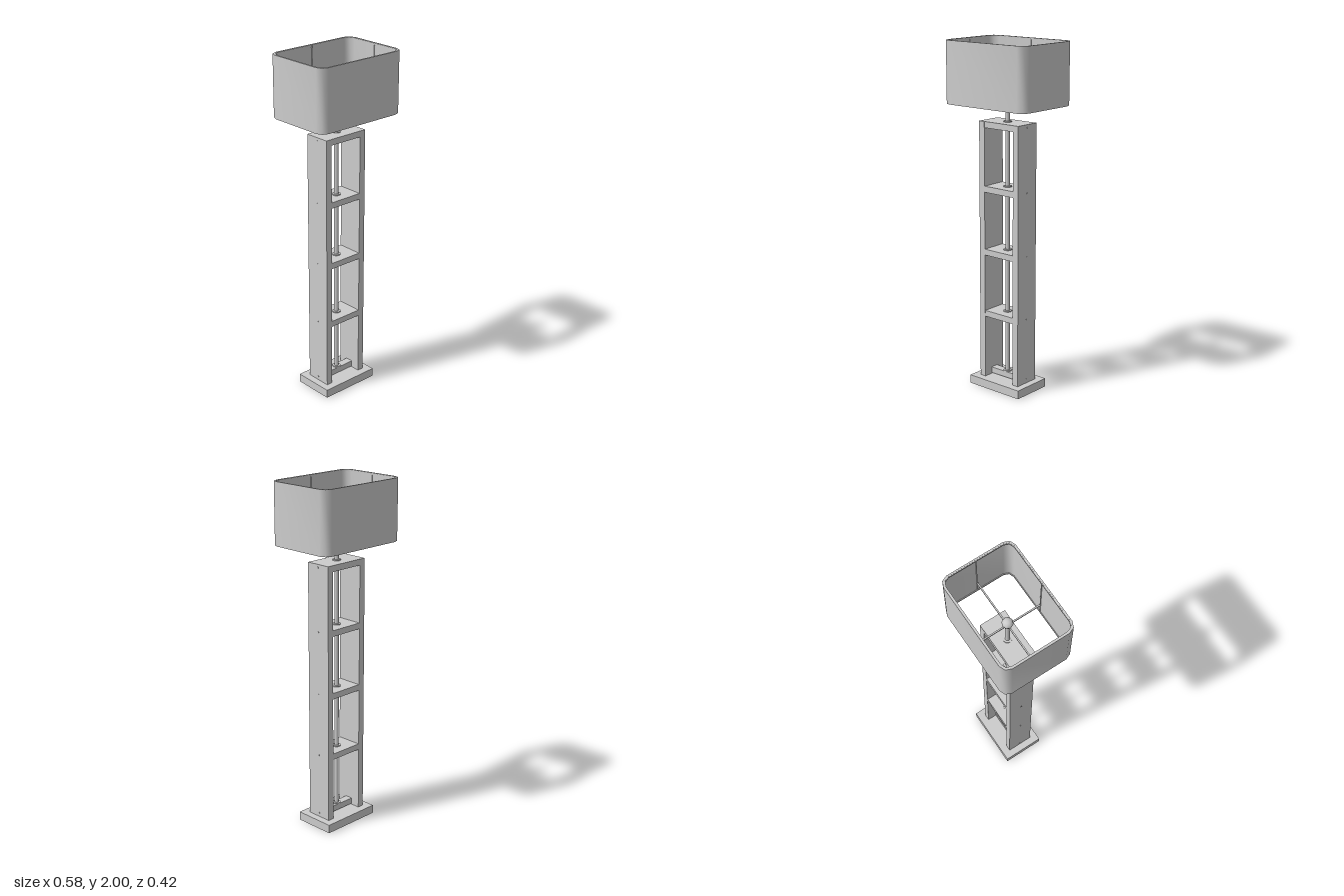
import * as THREE from 'three';
import { toCreasedNormals } from 'three/addons/utils/BufferGeometryUtils.js';

export function createModel() {
  const lamp = new THREE.Group();
  lamp.name = 'floorLamp';
  const grey = new THREE.MeshStandardMaterial({ color: 0xcccccc });
  grey.name = 'light grey';

  const add = (name, geometry, x = 0, y = 0, z = 0) => {
    const mesh = new THREE.Mesh(geometry, grey);
    mesh.name = name;
    mesh.position.set(x, y, z);
    lamp.add(mesh);
    return mesh;
  };
  // box given by its size and the height of its underside
  const box = (name, w, h, d, x, y0, z = 0) =>
    add(name, new THREE.BoxGeometry(w, h, d), x, y0 + h / 2, z);
  const rod = (name, r, y0, y1, x = 0, z = 0, sides = 12) =>
    add(name, new THREE.CylinderGeometry(r, r, y1 - y0, sides), x, (y0 + y1) / 2, z);

  // rectangle with each corner cut by a two-step arc
  const outline = (w, d, r) => {
    const points = [];
    [[1, 1], [-1, 1], [-1, -1], [1, -1]].forEach(([sx, sz], corner) => {
      for (let i = 0; i <= 2; i++) {
        const a = (corner + i / 2) * Math.PI / 2;
        points.push(new THREE.Vector2(
          sx * (w - r) + Math.cos(a) * r, sz * (d - r) + Math.sin(a) * r));
      }
    });
    return points;
  };
  // hollow rounded band with the given wall, standing between two heights
  const band = (name, w, d, r, wall, y0, y1) => {
    const shape = new THREE.Shape(outline(w, d, r));
    shape.holes.push(new THREE.Path(outline(w - wall, d - wall, r - wall * 0.6).reverse()));
    const geometry = new THREE.ExtrudeGeometry(shape, { depth: y1 - y0, bevelEnabled: false });
    geometry.rotateX(-Math.PI / 2);
    add(name, toCreasedNormals(geometry, 0.9), 0, y0, 0);
  };

  // base and the two uprights
  box('base', 0.366, 0.05, 0.244, 0, 0);
  for (const side of [-1, 1]) box('upright', 0.038, 1.505, 0.155, side * 0.123, 0.05);

  // shelves with collars round the pole and screw heads on the uprights
  [0.055, 0.42, 0.787, 1.154, 1.52].forEach((y, i) => {
    box(i ? 'shelf' : 'bottomRail', 0.208, 0.035, i ? 0.153 : 0.045, 0, y);
    rod('collar', 0.024, y + 0.035, y + 0.041);
    if (i) rod('collar', 0.024, y - 0.006, y);
    for (const side of [-1, 1]) {
      const screw = rod('screwHead', 0.005, 0, 0.004, 0, 0, 8);
      screw.rotation.z = Math.PI / 2;
      screw.position.set(side * 0.1425, y + 0.0175, 0);
    }
  });

  // central pole and its ball finial
  rod('pole', 0.013, 0.05, 1.75);
  add('finial', new THREE.SphereGeometry(0.031, 8, 6), 0, 1.765, 0);

  // shade wall with inner rims at both ends
  band('shade', 0.288, 0.209, 0.046, 0.009, 1.65, 2);
  for (const y of [1.651, 1.989]) band('shadeRim', 0.281, 0.202, 0.041, 0.006, y, y + 0.01);

  // cross spokes and wires carrying the shade
  box('spoke', 0.556, 0.008, 0.008, 0, 1.736);
  box('spoke', 0.008, 0.008, 0.398, 0, 1.736);
  for (const side of [-1, 1]) {
    rod('shadeWire', 0.003, 1.655, 1.995, side * 0.277, 0, 6);
    rod('shadeWire', 0.003, 1.655, 1.995, 0, side * 0.198, 6);
  }
  return lamp;
}
